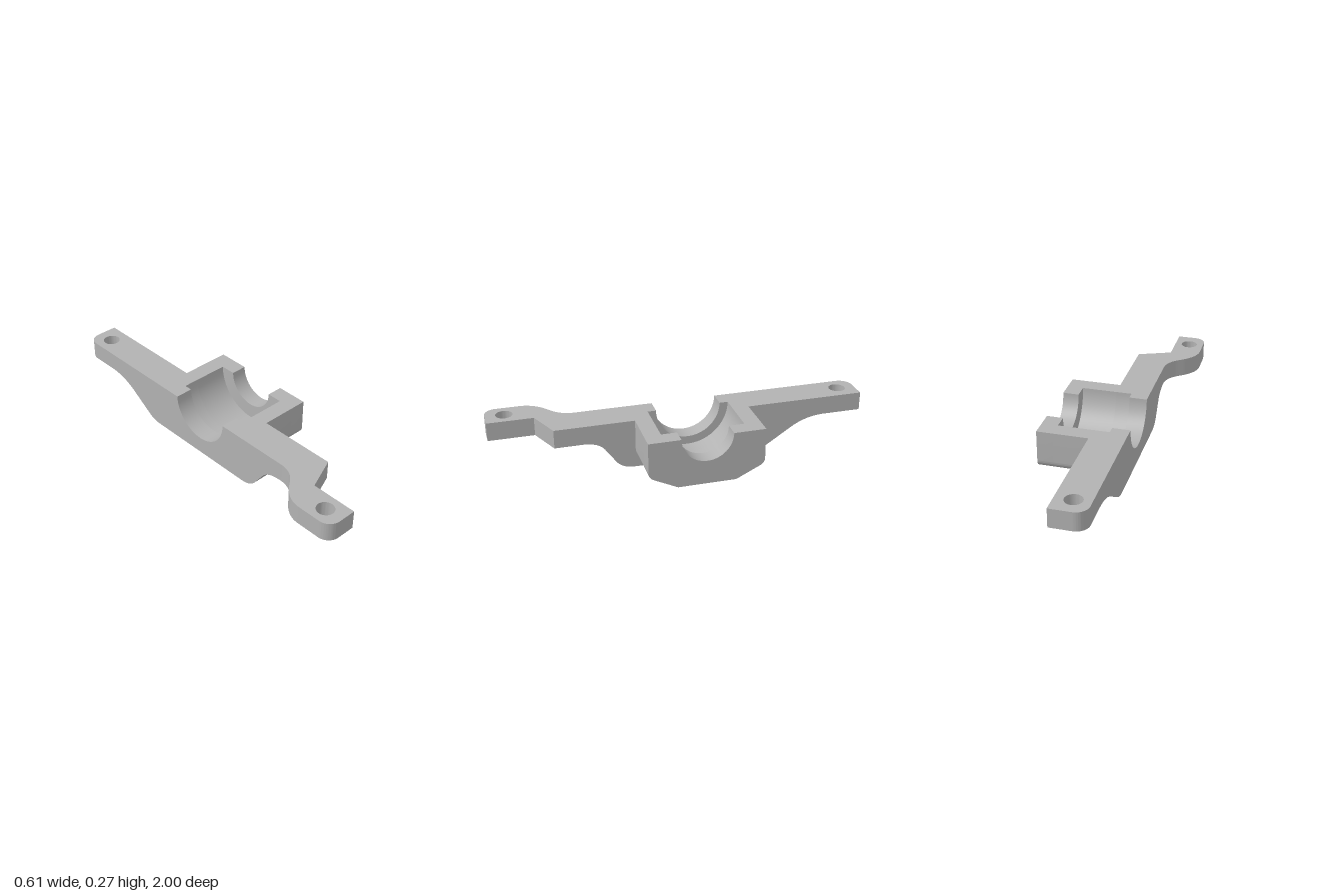
import * as THREE from 'three';
import { toCreasedNormals } from 'three/addons/utils/BufferGeometryUtils.js';

const TOP = 0.267;      // flat upper face
const ARM_BASE = 0.167; // underside of the thin arms
const BORE_U = 0.048;   // bore axis, measured towards the back
const FRONT = -0.54, BACK = 0.79; // ends of the thick part of the bar

export function createModel() {
  const group = new THREE.Group();
  const castMetal = new THREE.MeshStandardMaterial({ color: 0xb2b2b2 });
  castMetal.name = 'cast metal grey';

  const extrude = (shape, depth) => new THREE.ExtrudeGeometry(shape, { depth, bevelEnabled: false, curveSegments: 20 });

  const add = (name, geometry) => {
    const mesh = new THREE.Mesh(toCreasedNormals(geometry, 0.45), castMetal);
    mesh.name = name;
    group.add(mesh);
  };

  // Side profile (u = -z, y) extruded from x0 to x1
  const addSlice = (name, shape, x0, x1) =>
    add(name, extrude(shape, x1 - x0).rotateY(Math.PI / 2).translate(x0, 0, 0));

  // Plan outline (x, w = -z) extruded upwards
  const addPlate = (name, shape) =>
    add(name, extrude(shape, TOP - ARM_BASE).rotateX(-Math.PI / 2).translate(0, ARM_BASE, 0));

  // Bar with swooping underside and half-round bore
  const barProfile = (r) => {
    const s = new THREE.Shape();
    s.moveTo(FRONT, ARM_BASE);
    s.quadraticCurveTo(-0.454, ARM_BASE, -0.42, 0.12);
    s.lineTo(-0.366, 0.045);
    s.quadraticCurveTo(-0.334, 0, -0.265, 0);
    s.lineTo(0.385, 0);
    s.quadraticCurveTo(0.432, 0, 0.47, 0.025);
    s.lineTo(0.6, 0.11);
    s.quadraticCurveTo(0.687, ARM_BASE, BACK, ARM_BASE);
    s.lineTo(BACK, TOP);
    s.lineTo(BORE_U + r, TOP);
    s.absarc(BORE_U, TOP, r, 0, -Math.PI, true);
    s.lineTo(FRONT, TOP);
    s.closePath();
    return s;
  };

  // Bearing block with sloped lower corners and half-round bore
  const blockProfile = (r) => {
    const c = BORE_U, h = 0.308;
    const s = new THREE.Shape();
    s.moveTo(c - h, TOP);
    s.lineTo(c - h, 0.104);
    s.quadraticCurveTo(c - h, 0.074, c - h + 0.027, 0.061);
    s.lineTo(c - 0.155, 0);
    s.lineTo(c + 0.155, 0);
    s.lineTo(c + h - 0.027, 0.061);
    s.quadraticCurveTo(c + h, 0.074, c + h, 0.104);
    s.lineTo(c + h, TOP);
    s.lineTo(c + r, TOP);
    s.absarc(c, TOP, r, 0, -Math.PI, true);
    s.closePath();
    return s;
  };

  addSlice('barOuterLip', barProfile(0.175), -0.148, -0.053);
  addSlice('barSeat', barProfile(0.22), -0.053, 0.032);
  addSlice('blockSeat', blockProfile(0.22), 0.032, 0.218);
  addSlice('blockOuterLip', blockProfile(0.137), 0.218, 0.304);

  const boltHole = (x, w) => new THREE.Path().absarc(x, w, 0.045, 0, Math.PI * 2, true);

  // Straight back arm with one rounded corner
  const backArm = new THREE.Shape();
  backArm.moveTo(-0.148, BACK);
  backArm.lineTo(0.032, BACK);
  backArm.lineTo(0.032, 1);
  backArm.lineTo(-0.083, 1);
  backArm.absarc(-0.083, 0.935, 0.065, Math.PI / 2, Math.PI, false);
  backArm.closePath();
  backArm.holes.push(boltHole(-0.061, 0.902));
  addPlate('backArm', backArm);

  // Front arm, stepping sideways to its bolt hole
  const frontArm = new THREE.Shape();
  frontArm.moveTo(0.032, FRONT);
  frontArm.lineTo(-0.148, FRONT);
  frontArm.quadraticCurveTo(-0.148, -0.61, -0.2, -0.652);
  frontArm.lineTo(-0.22, -0.668);
  frontArm.quadraticCurveTo(-0.305, -0.73, -0.305, -0.81);
  frontArm.lineTo(-0.305, -0.935);
  frontArm.absarc(-0.24, -0.935, 0.065, Math.PI, Math.PI * 1.5, false);
  frontArm.lineTo(-0.143, -1);
  frontArm.lineTo(-0.143, -0.755);
  frontArm.lineTo(0.032, -0.682);
  frontArm.closePath();
  frontArm.holes.push(boltHole(-0.224, -0.899));
  addPlate('frontArm', frontArm);

  return group;
}
